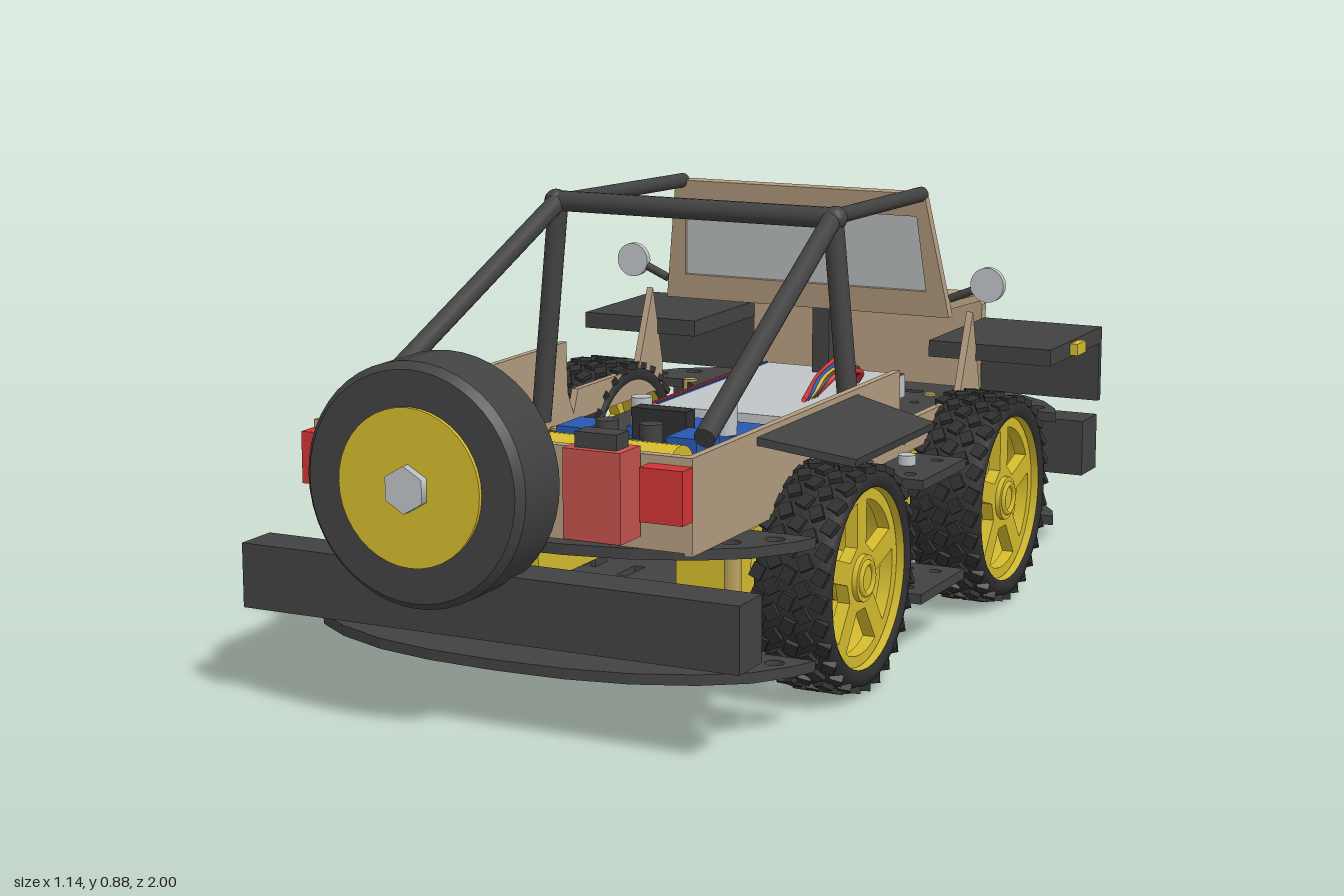
import * as THREE from 'three';
import { mergeGeometries } from 'three/addons/utils/BufferGeometryUtils.js';

const V = (x, y, z) => new THREE.Vector3(x, y, z);
const paint = (name, color) => {
  const m = new THREE.MeshStandardMaterial({ color, side: THREE.DoubleSide });
  m.name = name;
  return m;
};

export function createModel() {
  const root = new THREE.Group();
  root.name = 'openOffRoadCar';
  const dark = paint('darkGrey', 0x424242), rubber = paint('rubber', 0x2f2f2f), tan = paint('tan', 0xb39c80),
    yellow = paint('yellow', 0xd4bb2e), gold = paint('gold', 0xbfa75e), grey = paint('lightGrey', 0xbfc4c6),
    red = paint('red', 0xd03434), rust = paint('canRed', 0xc4514c), blue = paint('blue', 0x2858b0);

  // helpers
  const add = (name, geo, mat, x = 0, y = 0, z = 0, parent = root) => {
    const m = new THREE.Mesh(geo, mat);
    m.name = name;
    m.position.set(x, y, z);
    parent.add(m);
    return m;
  };
  // box given by its min and max corners
  const box = (name, mat, x0, x1, y0, y1, z0, z1) =>
    add(name, new THREE.BoxGeometry(x1 - x0, y1 - y0, z1 - z0), mat, (x0 + x1) / 2, (y0 + y1) / 2, (z0 + z1) / 2);
  const rod = (name, mat, a, b, r, seg = 14) => {
    const d = b.clone().sub(a), c = a.clone().add(b).multiplyScalar(0.5);
    const m = add(name, new THREE.CylinderGeometry(r, r, d.length(), seg), mat, c.x, c.y, c.z);
    m.quaternion.setFromUnitVectors(V(0, 1, 0), d.normalize());
    return m;
  };
  const poly = pts => new THREE.Shape(pts.map(p => new THREE.Vector2(...p)));
  const mirrored = pts => poly([...pts, ...pts.slice().reverse().map(([x, y]) => [-x, y])]);
  const extrude = (shape, depth) => new THREE.ExtrudeGeometry(shape, { depth, bevelEnabled: false, curveSegments: 24 });
  const flat = (shape, t) => extrude(shape, t).rotateX(Math.PI / 2);   // shape in x,z; thickness downward
  const side = (shape, t) => extrude(shape, t).rotateY(-Math.PI / 2);  // shape in z,y; thickness toward -x
  const hole = (s, x, z, r) => s.holes.push(new THREE.Path().absarc(x, z, r, 0, Math.PI * 2, true));
  const slot = (s, x, z, w, h) => s.holes.push(new THREE.Path([[x - w, z - h], [x - w, z + h], [x + w, z + h], [x + w, z - h]].map(p => new THREE.Vector2(...p))));
  const sides = [-1, 1];

  // chassis plates with curved ends and side tabs
  const quarter = [[0, 0.88], [0.14, 0.873], [0.26, 0.85], [0.37, 0.805], [0.45, 0.75], [0.5, 0.68], [0.52, 0.63],
    [0.38, 0.63], [0.32, 0.57], [0.32, 0.17], [0.36, 0.115], [0.515, 0.115]];
  const plate = mirrored([...quarter, ...quarter.slice().reverse().map(([x, z]) => [x, -z])]);
  for (const s of sides) {
    for (const e of sides) {
      hole(plate, s * 0.46, e * 0.675, 0.018);
      hole(plate, s * 0.4, e * 0.73, 0.018);
      hole(plate, s * 0.47, e * 0.07, 0.012);
      hole(plate, s * 0.41, e * 0.07, 0.012);
      slot(plate, s * 0.27, e * 0.38, 0.012, 0.06);
      slot(plate, s * 0.12, e * 0.73, 0.05, 0.012);
      slot(plate, s * 0.08, e * 0.2, 0.012, 0.04);
      for (let i = 0; i < 4; i++) hole(plate, s * 0.2, e * (0.1 + i * 0.17), 0.01);
    }
  }
  for (const y of [0.137, 0.365]) add('chassisPlate', flat(plate, 0.02), dark, 0, y, -0.04);
  for (const s of sides) {
    for (const z of [0.59, -0.04, -0.66]) rod('standoff', gold, V(s * 0.355, 0.13, z), V(s * 0.355, 0.37, z), 0.016, 6);
    rod('frontStandoff', gold, V(s * 0.2, 0.13, -0.74), V(s * 0.2, 0.37, -0.74), 0.014, 6);
    rod('tabBolt', grey, V(s * 0.43, 0.36, -0.05), V(s * 0.43, 0.385, -0.05), 0.018);
  }

  // wheels
  const tyreGeo = new THREE.LatheGeometry([[0.172, -0.07], [0.185, -0.078], [0.203, -0.072], [0.211, -0.055], [0.213, 0],
    [0.211, 0.055], [0.203, 0.072], [0.185, 0.078], [0.172, 0.07]].map(p => new THREE.Vector2(...p)), 48).rotateZ(-Math.PI / 2);
  const blocks = [];
  for (let i = 0; i < 28; i++) for (let k = -2; k <= 2; k++) {
    const b = new THREE.BoxGeometry(0.025, 0.014, 0.028).rotateY(k % 2 ? 0.5 : -0.4);
    blocks.push(b.translate(k * 0.031, Math.abs(k) === 2 ? 0.208 : 0.214, 0).rotateX((i + (k % 2 ? 0.5 : 0)) / 28 * Math.PI * 2));
  }
  const treadGeo = mergeGeometries(blocks);
  const rimShape = new THREE.Shape().absarc(0, 0, 0.17, 0, Math.PI * 2);
  for (let i = 0; i < 5; i++) {
    const a = i * Math.PI * 0.4 + Math.PI / 2 + Math.PI / 5, p = new THREE.Path();
    p.absarc(0, 0, 0.148, a + 0.48, a - 0.48, true);
    p.lineTo(Math.cos(a - 0.3) * 0.065, Math.sin(a - 0.3) * 0.065);
    p.lineTo(Math.cos(a + 0.3) * 0.065, Math.sin(a + 0.3) * 0.065);
    rimShape.holes.push(p);
  }
  const rimGeo = extrude(rimShape, 0.025).rotateY(Math.PI / 2);
  const barrelGeo = new THREE.CylinderGeometry(0.173, 0.173, 0.14, 40, 1, true).rotateZ(Math.PI / 2);
  for (const s of sides) for (const z of [0.337, -0.41]) {
    const w = new THREE.Group();
    w.name = 'wheel';
    w.position.set(s * 0.445, 0.23, z);
    if (s < 0) w.rotation.y = Math.PI;
    root.add(w);
    add('tyre', tyreGeo, rubber, 0, 0, 0, w);
    add('tread', treadGeo, rubber, 0, 0, 0, w);
    add('rimSpokes', rimGeo, yellow, 0.03, 0, 0, w);
    add('rimBarrel', barrelGeo, yellow, 0, 0, 0, w);
    add('hub', new THREE.CylinderGeometry(0.045, 0.05, 0.1, 24).rotateZ(-Math.PI / 2), yellow, 0.015, 0, 0, w);
    add('hubRing', new THREE.TorusGeometry(0.03, 0.006, 6, 24).rotateY(Math.PI / 2), yellow, 0.066, 0, 0, w);

    // gear motor beside each wheel, pointing to the middle of the car
    const d = z > 0 ? -1 : 1, x = s * 0.215;
    add('gearbox', new THREE.BoxGeometry(0.13, 0.145, 0.33), yellow, x, 0.23, z + d * 0.09);
    add('motorCan', new THREE.BoxGeometry(0.11, 0.13, 0.08), grey, x, 0.23, z + d * 0.295);
    rod('axle', yellow, V(s * 0.25, 0.23, z), V(s * 0.42, 0.23, z), 0.02);
    for (const o of [-0.013, 0.013]) add('motorBracket', new THREE.BoxGeometry(0.012, 0.085, 0.05), dark, s * 0.178 + o, 0.118, z + d * 0.2);
    add('bracketFoot', new THREE.BoxGeometry(0.038, 0.03, 0.05), dark, s * 0.178, 0.09, z + d * 0.2);
  }

  // bumpers, tow rings and number plate
  box('rearBumper', dark, -0.51, 0.51, 0.185, 0.308, 0.795, 0.885);
  box('frontBumper', dark, -0.51, 0.51, 0.185, 0.308, -0.975, -0.88);
  box('numberPlate', grey, -0.11, 0.11, 0.21, 0.285, -0.984, -0.975);
  for (const s of sides) add('towRing', new THREE.TorusGeometry(0.03, 0.012, 10, 24), red, s * 0.29, 0.245, -0.985);

  // tub walls
  const wall = poly([[0.82, 0.365], [0.82, 0.54], [-0.11, 0.54], [-0.115, 0.43], [-0.14, 0.38], [-0.16, 0.43], [-0.44, 0.43],
    [-0.51, 0.6], [-0.555, 0.43], [-0.555, 0.365]]);
  for (const s of sides) add('tubSide', side(wall, 0.015), tan, s * 0.38 + 0.0075, 0, 0);
  box('tailgate', tan, -0.388, 0.388, 0.37, 0.54, 0.8, 0.82);
  for (const s of sides) {
    // sloping rear fender
    const f = add('rearFender', flat(poly([[0, 0.56], [0.185 * s, 0.51], [0.185 * s, 0.135], [0, 0.1]]), 0.015), dark, s * 0.38, 0.53, 0);
    f.rotation.z = -s * 0.19;
    // front fender with its front panel
    const x = [0.28 * s, 0.555 * s].sort((a, b) => a - b);
    box('frontFender', dark, ...x, 0.493, 0.528, -0.86, -0.53);
    box('fenderFrontPanel', dark, ...x, 0.365, 0.528, -0.862, -0.845);
    add('sideMarker', new THREE.BoxGeometry(0.02, 0.025, 0.055), yellow, s * 0.562, 0.51, -0.68);
    // lights
    const lamp = new THREE.CylinderGeometry(0.062, 0.056, 0.04, 28).rotateX(-Math.PI / 2);
    add('headlight', lamp, grey, s * 0.212, 0.475, -0.885);
    add('turnSignal', new THREE.CylinderGeometry(0.02, 0.02, 0.03, 16).rotateX(Math.PI / 2), yellow, s * 0.24, 0.395, -0.88);
    box('tailLight', red, s * 0.347 - 0.042, s * 0.347 + 0.042, 0.428, 0.525, 0.82, 0.86);
    // mirror
    rod('mirrorArm', dark, V(s * 0.335, 0.625, -0.51), V(s * 0.42, 0.66, -0.515), 0.009);
    add('mirror', new THREE.CylinderGeometry(0.037, 0.037, 0.015, 24).rotateX(Math.PI / 2), grey, s * 0.42, 0.66, -0.51);
  }

  // grille with slots, and hood with its pointed opening
  const grille = mirrored([[0, 0.37], [0.28, 0.37], [0.28, 0.56], [0.26, 0.585], [0, 0.585]]);
  add('grille', extrude(grille, 0.025), tan, 0, 0, -0.868);
  for (let i = -3; i <= 3; i++) box('grilleSlot', rubber, i * 0.042 - 0.012, i * 0.042 + 0.012, 0.42, 0.545, -0.873, -0.867);
  const hood = mirrored([[0, -0.87], [0.28, -0.87], [0.33, -0.51], [0.18, -0.51], [0.18, -0.63], [0, -0.7]]);
  const lid = add('hood', flat(hood, 0.016).translate(0, 0, 0.51), tan, 0, 0.616, -0.51);
  lid.rotation.x = -0.09;

  // windscreen
  const screen = new THREE.Group();
  screen.name = 'windscreen';
  screen.position.set(0, 0.585, -0.515);
  screen.rotation.x = 0.16;
  root.add(screen);
  const frame = mirrored([[0, 0], [0.335, 0], [0.292, 0.27], [0, 0.27]]);
  frame.holes.push(new THREE.Path([[-0.285, 0.055], [0.285, 0.055], [0.272, 0.22], [-0.272, 0.22]].map(p => new THREE.Vector2(...p))));
  add('windscreenFrame', extrude(frame, 0.02), tan, 0, 0, -0.01, screen);
  add('windscreenGlass', extrude(mirrored([[0, 0.055], [0.285, 0.055], [0.272, 0.22], [0, 0.22]]), 0.006), grey, 0, 0, -0.003, screen);

  // roll cage
  const top = 0.86;
  rod('cageCrossbar', dark, V(-0.315, top, 0.04), V(0.315, top, 0.04), 0.021);
  for (const s of sides) {
    rod('cagePost', dark, V(s * 0.305, top, 0.04), V(s * 0.35, 0.4, 0.04), 0.021);
    rod('cageRearStrut', dark, V(s * 0.305, top, 0.04), V(s * 0.352, 0.55, 0.7), 0.02);
    rod('cageRoofBar', dark, V(s * 0.3, top, 0.04), V(s * 0.28, 0.848, -0.475), 0.016);
    add('cageJoint', new THREE.SphereGeometry(0.024, 14, 10), dark, s * 0.31, top, 0.04);
  }

  // spare wheel
  const spareProfile = [[0, 0], [0.205, 0], [0.223, 0.015], [0.223, 0.135], [0.21, 0.15], [0, 0.15]].map(p => new THREE.Vector2(...p));
  const spare = new THREE.Group();
  spare.name = 'spareWheel';
  spare.position.set(-0.085, 0.473, 0.825);
  root.add(spare);
  add('spareTyre', mergeGeometries(spareProfile.slice(1).map((p, i) => new THREE.LatheGeometry([spareProfile[i], p], 48))).rotateX(Math.PI / 2), dark, 0, 0, 0, spare);
  add('spareDisc', new THREE.CylinderGeometry(0.144, 0.144, 0.008, 40).rotateX(Math.PI / 2), yellow, 0, 0, 0.154, spare);
  add('spareNut', new THREE.CylinderGeometry(0.043, 0.043, 0.02, 6).rotateX(Math.PI / 2), grey, 0, 0, 0.165, spare);

  // fuel can
  box('fuelCan', rust, 0.177, 0.29, 0.393, 0.555, 0.825, 0.9);
  box('fuelCanCap', dark, 0.193, 0.275, 0.555, 0.583, 0.84, 0.885);

  // batteries
  for (const z of [0.54, 0.69]) {
    rod('battery', yellow, V(-0.225, 0.435, z), V(0.225, 0.435, z), 0.06, 28);
    for (const s of sides) rod('batteryEnd', dark, V(s * 0.225, 0.435, z), V(s * 0.235, 0.435, z), 0.03);
  }

  // motor driver board
  box('driverBoard', red, -0.155, 0.16, 0.375, 0.395, 0.13, 0.43);
  for (const s of sides) {
    box('sideTerminal', blue, s * 0.12 - 0.033, s * 0.12 + 0.033, 0.395, 0.46, 0.23, 0.33);
    rod('capacitor', dark, V(s * 0.048, 0.395, 0.315), V(s * 0.048, 0.48, 0.315), 0.023);
  }
  box('rearTerminal', blue, -0.062, 0.062, 0.395, 0.46, 0.375, 0.425);
  box('heatSink', rubber, -0.06, 0.06, 0.395, 0.48, 0.15, 0.19);
  // controller board
  box('controllerBoard', blue, -0.12, 0.17, 0.4, 0.42, -0.04, 0.1);
  for (const x of [-0.095, 0.095]) rod('controllerCan', grey, V(x, 0.42, 0.08), V(x, 0.48, 0.08), 0.022);
  box('controllerSocket', dark, -0.11, 0.16, 0.365, 0.4, -0.09, 0.0);

  // breadboard, its rails, and loose wires
  box('breadboard', grey, -0.18, 0.175, 0.375, 0.425, -0.655, -0.1);
  for (const s of sides) {
    box('redRail', red, s * 0.17 - 0.003, s * 0.17 + 0.003, 0.425, 0.428, -0.65, -0.11);
    box('blueRail', blue, s * 0.158 - 0.003, s * 0.158 + 0.003, 0.425, 0.428, -0.65, -0.11);
  }
  [red, blue, yellow, dark, red].forEach((m, i) => {
    const path = new THREE.CatmullRomCurve3([V(0.1 + i * 0.006, 0.43, -0.57 + i * 0.015), V(0.11 + i * 0.01, 0.49 - i * 0.008, -0.47),
      V(0.1 + i * 0.01, 0.47, -0.37), V(0.11, 0.43, -0.26 - i * 0.015)]);
    add('wire', new THREE.TubeGeometry(path, 16, 0.006, 6), m);
  });
  // upright sensor in the hood opening
  box('sensorPost', dark, -0.02, 0.02, 0.425, 0.62, -0.615, -0.59);
  box('sensorPlate', grey, -0.045, 0.045, 0.6, 0.705, -0.582, -0.573);

  return root;
}
